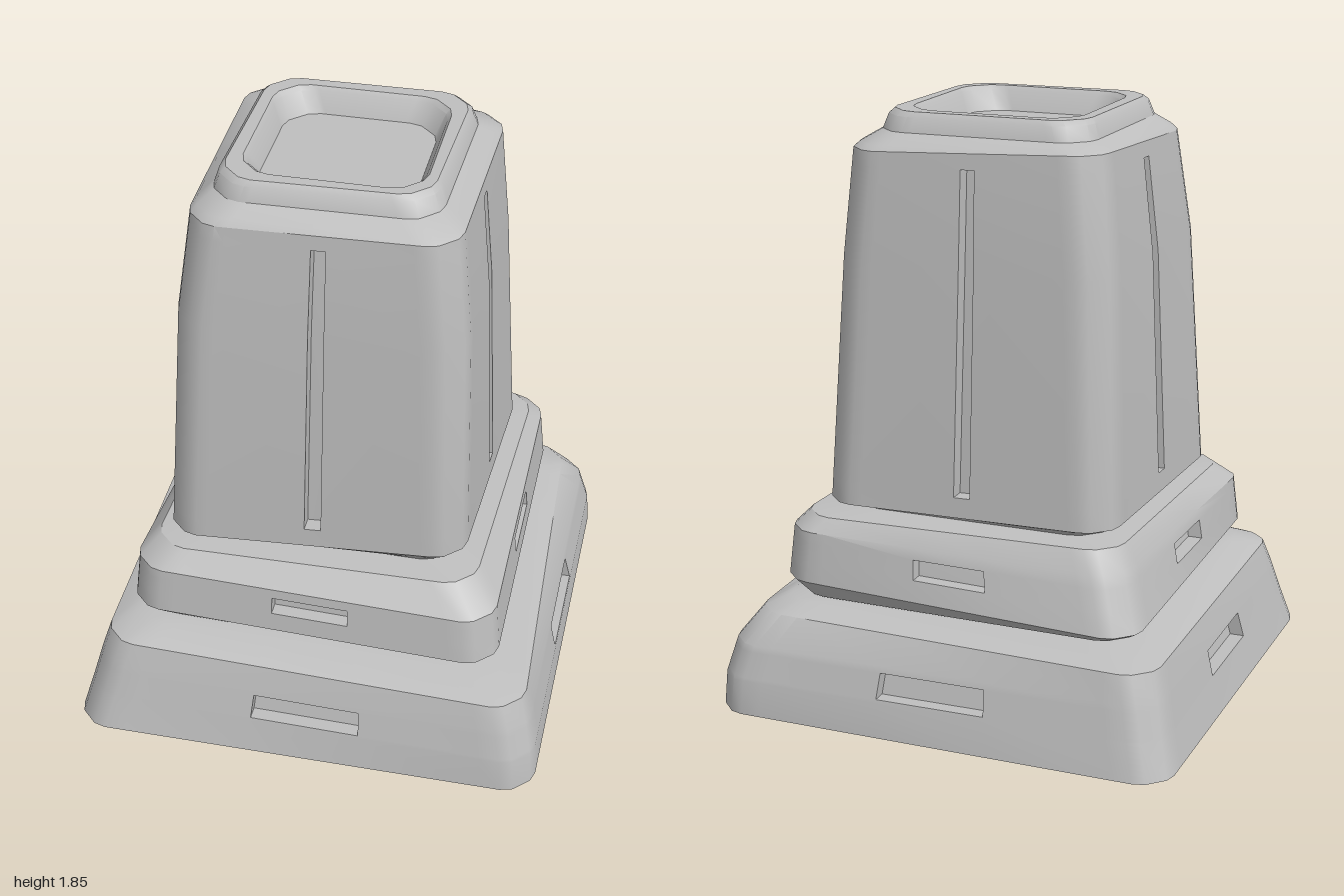
import * as THREE from 'three';
import { toCreasedNormals } from 'three/addons/utils/BufferGeometryUtils.js';

// Corner directions of the diamond plan: +x, +z, -x, -z
const DIRS = [[1, 0], [0, 1], [-1, 0], [0, -1]].map(([x, z]) => new THREE.Vector3(x, 0, z));

// A ring holds the reach and the height of each of the four corners
const ring = (r, y) => ({
  r: Array.isArray(r) ? r : [r, r, r, r],
  y: Array.isArray(y) ? y : [y, y, y, y],
});
const mean = (g) => (g.y[0] + g.y[1] + g.y[2] + g.y[3]) / 4;
const mix = (a, b, t) => ({
  r: a.r.map((v, k) => v + (b.r[k] - v) * t),
  y: a.y.map((v, k) => v + (b.y[k] - v) * t),
});

// Add a ring at a given mean height and return its index
function splitAt(rings, y) {
  const i = rings.findIndex((g) => mean(g) > y);
  const a = rings[i - 1], b = rings[i];
  rings.splice(i, 0, mix(a, b, (y - mean(a)) / (mean(b) - mean(a))));
  return i;
}

// Points of one ring: per side a softened corner, then a wall in columns
function ringPoints(g, us) {
  const pts = [];
  for (let k = 0; k < 4; k++) {
    const n = (k + 1) % 4;
    const at = (a, b, y) =>
      new THREE.Vector3().addScaledVector(DIRS[k], a).addScaledVector(DIRS[n], b).setY(y);
    pts.push(at(g.r[k], -0.035, g.y[k]), at(g.r[k], 0.035, g.y[k]));
    const start = at(g.r[k] - 0.02, 0.07, g.y[k]);
    const end = at(0.07, g.r[n] - 0.02, g.y[n]);
    for (const u of us) pts.push(start.clone().lerp(end, (u + 1) / 2));
  }
  return pts;
}

// Loft through the rings, with a recessed slot in the middle of each wall
function tier(rings, { slot, bottom, top } = {}) {
  const list = rings.slice();
  const s = slot ? slot.half : 0.5;
  const us = [-1, -0.9, -s, s, 0.9, 1];
  let i0 = -1, i1 = -1;
  if (slot) {
    i0 = splitAt(list, slot.y0);
    i1 = splitAt(list, slot.y1);
  }
  const rows = list.map((g) => ringPoints(g, us));
  const per = us.length + 2, count = per * 4, slotCol = 4;
  const pos = [];
  const tri = (...p) => p.forEach((v) => pos.push(v.x, v.y, v.z));
  const quad = (a, b, c, d) => { tri(a, b, c); tri(a, c, d); };

  // Outer skin
  for (let i = 0; i < rows.length - 1; i++) {
    for (let j = 0; j < count; j++) {
      if (i >= i0 && i < i1 && j % per === slotCol) continue;
      const n = (j + 1) % count;
      quad(rows[i][j], rows[i + 1][j], rows[i + 1][n], rows[i][n]);
    }
  }

  // Slot walls and backs
  for (let k = 0; slot && k < 4; k++) {
    const inward = DIRS[k].clone().add(DIRS[(k + 1) % 4]).normalize().multiplyScalar(-slot.depth);
    const j = k * per + slotCol;
    const f = (i, e) => rows[i][j + e];
    const b = (i, e) => f(i, e).clone().add(inward);
    for (let i = i0; i < i1; i++) {
      quad(b(i, 0), b(i + 1, 0), b(i + 1, 1), b(i, 1));
      quad(b(i, 0), f(i, 0), f(i + 1, 0), b(i + 1, 0));
      quad(f(i, 1), b(i, 1), b(i + 1, 1), f(i + 1, 1));
    }
    quad(b(i0, 0), b(i0, 1), f(i0, 1), f(i0, 0));
    quad(f(i1, 0), f(i1, 1), b(i1, 1), b(i1, 0));
  }

  // Closing faces
  const fan = (g, pts, up) => {
    const c = new THREE.Vector3(0, mean(g), 0);
    pts.forEach((p, j) => {
      const n = pts[(j + 1) % count];
      if (up) tri(c, n, p); else tri(c, p, n);
    });
  };
  if (bottom) fan(list[0], rows[0], false);
  if (top) fan(list[list.length - 1], rows[rows.length - 1], true);

  const geo = new THREE.BufferGeometry();
  geo.setAttribute('position', new THREE.Float32BufferAttribute(pos, 3));
  return toCreasedNormals(geo, 0.55);
}

export function createModel() {
  const group = new THREE.Group();
  const stone = new THREE.MeshStandardMaterial({ color: 0xbfbfbf });
  stone.name = 'grey stone';
  const add = (name, geo) => {
    const mesh = new THREE.Mesh(geo, stone);
    mesh.name = name;
    group.add(mesh);
  };

  // Wide foot with a sloping shoulder
  add('base', tier([
    ring(1, 0),
    ring([0.99, 0.99, 0.956, 0.963], 0.11),
    ring([0.95, 0.96, 0.915, 0.93], 0.22),
    ring([0.86, 0.93, 0.88, 0.9], [0.31, 0.3, 0.3, 0.305]),
    ring([0.77, 0.74, 0.77, 0.73], 0.338),
    ring(0.68, 0.342),
  ], { slot: { y0: 0.12, y1: 0.2, half: 0.28, depth: 0.045 }, bottom: true }));

  // Narrower step above the foot
  add('plinth', tier([
    ring(0.68, 0.342),
    ring([0.72, 0.735, 0.71, 0.735], 0.348),
    ring([0.775, 0.78, 0.78, 0.775], [0.405, 0.365, 0.4, 0.37]),
    ring([0.755, 0.76, 0.76, 0.7], [0.565, 0.52, 0.55, 0.54]),
    ring([0.7, 0.66, 0.68, 0.65], 0.607),
    ring(0.54, 0.615),
  ], { slot: { y0: 0.45, y1: 0.51, half: 0.25, depth: 0.045 } }));

  // Tall tapering body
  add('body', tier([
    ring(0.54, 0.615),
    ring([0.55, 0.55, 0.56, 0.55], 0.625),
    ring([0.63, 0.595, 0.635, 0.61], [0.64, 0.662, 0.64, 0.645]),
    ring([0.573, 0.57, 0.578, 0.573], 1.41),
    ring([0.535, 0.522, 0.522, 0.515], [1.74, 1.75, 1.735, 1.765]),
    ring([0.515, 0.5, 0.5, 0.5], [1.755, 1.762, 1.755, 1.772]),
    ring([0.44, 0.425, 0.44, 0.43], 1.79),
  ], { slot: { y0: 0.71, y1: 1.7, half: 0.07, depth: 0.05 } }));

  // Raised rim around a shallow recess
  add('cap', tier([
    ring([0.44, 0.425, 0.44, 0.43], 1.79),
    ring([0.42, 0.4, 0.42, 0.41], 1.835),
    ring([0.4, 0.38, 0.4, 0.39], 1.85),
    ring(0.34, 1.85),
    ring(0.325, 1.838),
    ring(0.285, 1.775),
  ], { top: true }));

  return group;
}
